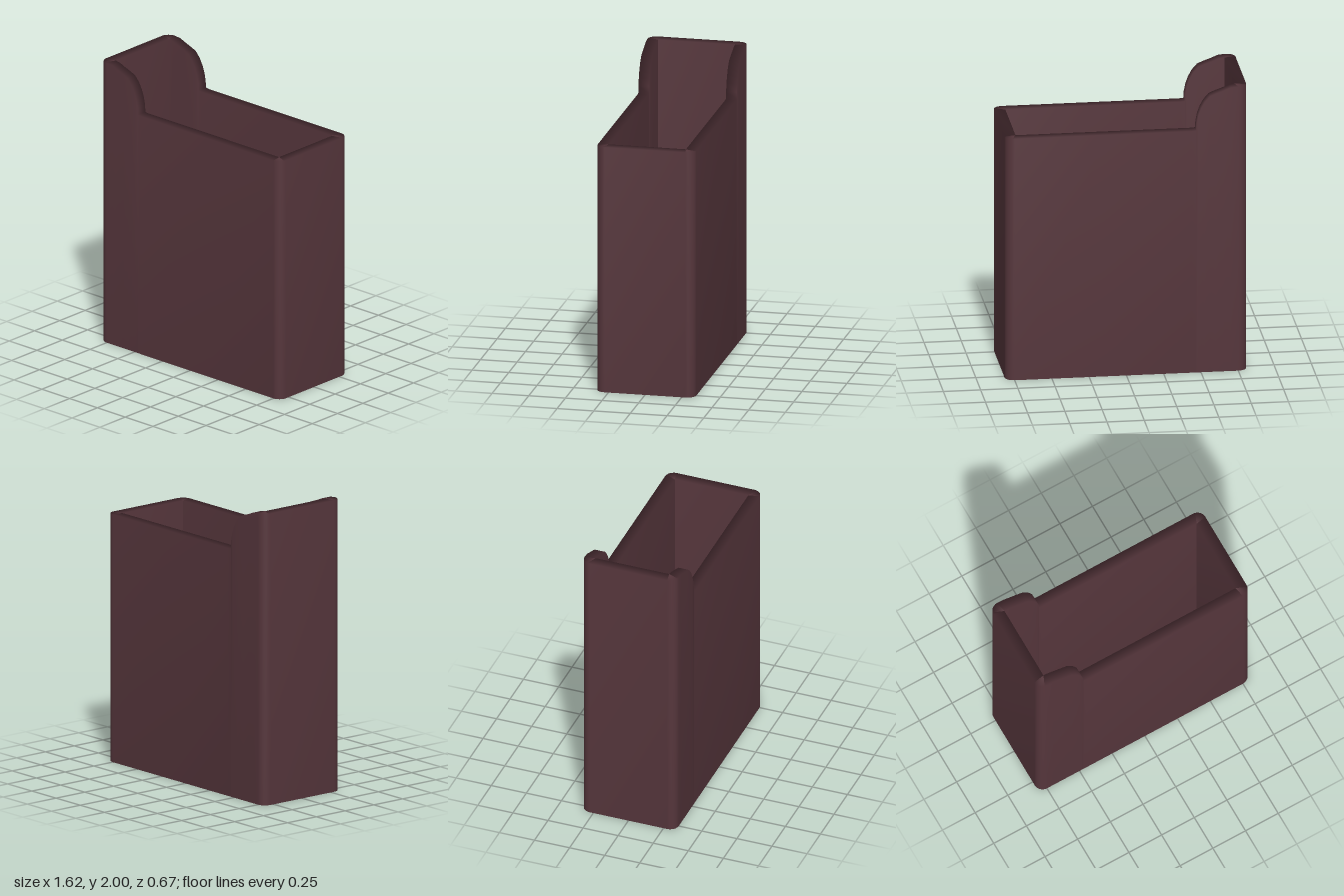
import * as THREE from 'three';

// Outer half sizes, inner half sizes and outer corner radius
const OX = 0.81, OZ = 0.336, IX = 0.735, IZ = 0.262, R = 0.06;

// Top edge of a long wall, left to right: raised rounded ear, then the low rim
const EDGE = [
  [-0.75, 2], [-0.7, 1.995], [-0.65, 1.975], [-0.6, 1.957], [-0.56, 1.94], [-0.525, 1.9],
  [-0.5, 1.855], [-0.482, 1.805], [-0.471, 1.75], [-0.469, 1.703], [-0.44, 1.7], [0.15, 1.7], [0.75, 1.7],
];

// Outline walked anticlockwise seen from above: [x, z, top height]
function outline() {
  const points = [];
  const corner = (cx, cz, start, top) => {
    for (let i = 1; i < 6; i++) {
      const a = start + (i / 6) * Math.PI / 2;
      points.push([cx + R * Math.cos(a), cz - R * Math.sin(a), top]);
    }
  };
  const cx = OX - R, cz = OZ - R;
  EDGE.forEach(([x, y]) => points.push([x, OZ, y]));
  corner(cx, cz, -Math.PI / 2, 1.7);
  points.push([OX, cz, 1.7], [OX, -cz, 1.7]);
  corner(cx, -cz, 0, 1.7);
  [...EDGE].reverse().forEach(([x, y]) => points.push([x, -OZ, y]));
  corner(-cx, -cz, Math.PI / 2, 2);
  points.push([-OX, -cz, 2], [-OX, cz, 2]);
  corner(-cx, cz, Math.PI, 2);
  return points;
}

// Closed wall section swept around the outline: outside, top rim, inside, bottom rim
function sleeveGeometry() {
  const points = outline(), n = points.length;
  const positions = [], index = [];
  for (const [x, z, top] of points) {
    const ix = THREE.MathUtils.clamp(x, -IX, IX);
    const iz = THREE.MathUtils.clamp(z, -IZ, IZ);
    positions.push(x, 0, z, x, top, z, ix, top, iz, ix, 0, iz);
  }
  for (let i = 0; i < n; i++) {
    const j = (i + 1) % n;
    for (let k = 0; k < 4; k++) {
      const m = (k + 1) % 4;
      const a = i * 4 + k, b = j * 4 + k, c = j * 4 + m, d = i * 4 + m;
      index.push(a, b, c, a, c, d);
    }
  }
  const geometry = new THREE.BufferGeometry();
  geometry.setAttribute('position', new THREE.Float32BufferAttribute(positions, 3));
  geometry.setIndex(index);
  geometry.computeVertexNormals();
  return geometry;
}

export function createModel() {
  const group = new THREE.Group();
  group.name = 'openSleeve';
  const maroon = new THREE.MeshStandardMaterial({ color: 0x56363c });
  maroon.name = 'dark maroon';
  const sleeve = new THREE.Mesh(sleeveGeometry(), maroon);
  sleeve.name = 'sleeveWalls';
  group.add(sleeve);
  return group;
}
